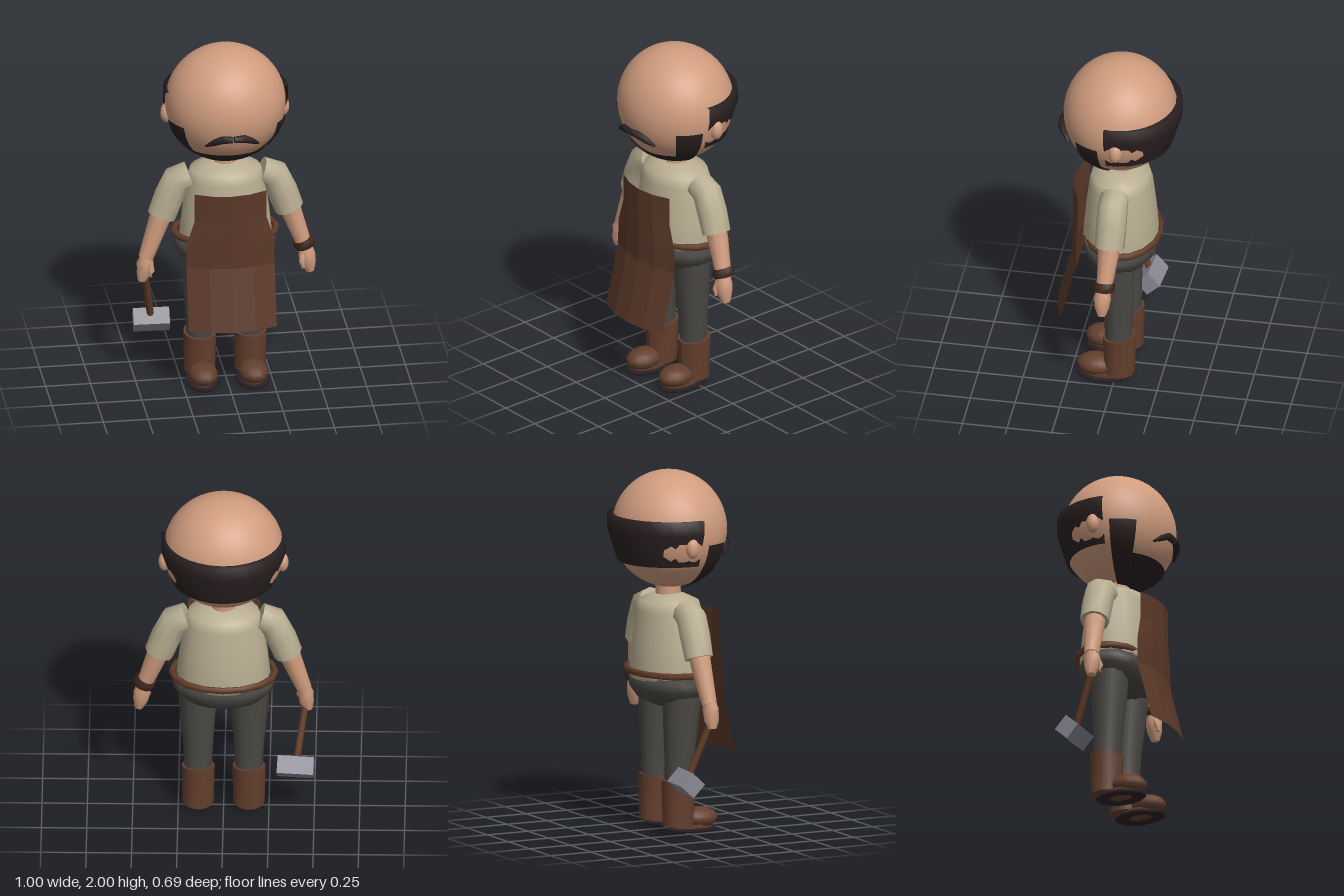
import * as THREE from 'three';

const mat = (name, color, side = THREE.FrontSide) => {
  const m = new THREE.MeshStandardMaterial({ color, side });
  m.name = name;
  return m;
};

// Closed limb through rings given as [x, y, z, radius]
function loft(pts, segs = 10) {
  const c = pts.map(p => new THREE.Vector3(p[0], p[1], p[2]));
  const last = pts.length - 1, up = new THREE.Vector3(0, 1, 0);
  const pos = [], idx = [];
  let rings = 0;
  const ring = (i, r) => {
    const t = c[Math.min(i + 1, last)].clone().sub(c[Math.max(i - 1, 0)]).normalize();
    const q = new THREE.Quaternion().setFromUnitVectors(up, t);
    for (let j = 0; j < segs; j++) {
      const a = j / segs * Math.PI * 2;
      const v = new THREE.Vector3(Math.cos(a) * r, 0, Math.sin(a) * r).applyQuaternion(q).add(c[i]);
      pos.push(v.x, v.y, v.z);
    }
    rings++;
  };
  // Doubled end rings keep the caps crisp
  ring(0, 0.0005);
  ring(0, pts[0][3]);
  pts.forEach((p, i) => ring(i, p[3]));
  ring(last, pts[last][3]);
  ring(last, 0.0005);
  for (let i = 0; i < rings - 1; i++) {
    if (i === 1 || i === rings - 3) continue;
    for (let j = 0; j < segs; j++) {
      const k = (j + 1) % segs, a = i * segs, b = a + segs;
      idx.push(a + j, b + j, a + k, b + j, b + k, a + k);
    }
  }
  const g = new THREE.BufferGeometry();
  g.setAttribute('position', new THREE.Float32BufferAttribute(pos, 3));
  g.setIndex(idx);
  g.computeVertexNormals();
  return g;
}

const lathe = (pts, segs, start, len) =>
  new THREE.LatheGeometry(pts.map(p => new THREE.Vector2(p[0], p[1])), segs, start, len);

const ball = (rx, ry, rz, w = 14, h = 10) => new THREE.SphereGeometry(1, w, h).scale(rx, ry, rz);

export function createModel() {
  const root = new THREE.Group();
  const skin = mat('skin', 0xd09c7e);
  const hair = mat('hair', 0x2a2021, THREE.DoubleSide);
  const shirt = mat('shirt', 0xb9ae92);
  const apronMat = mat('apron leather', 0x5a3828, THREE.DoubleSide);
  const pants = mat('trousers', 0x4a4843);
  const boot = mat('boot leather', 0x633f2d);
  const sole = mat('sole', 0x2a2024);
  const strap = mat('dark strap', 0x3d271c);
  const wood = mat('belt and handle brown', 0x633c28);
  const metal = mat('metal', 0x888993);

  const add = (name, geo, material, x = 0, y = 0, z = 0) => {
    const m = new THREE.Mesh(geo, material);
    m.name = name;
    m.position.set(x, y, z);
    root.add(m);
    return m;
  };

  // Head and neck
  add('head', ball(0.333, 0.325, 0.315, 40, 28), skin, 0, 1.675, -0.003);
  add('neck', new THREE.CylinderGeometry(0.07, 0.07, 0.16, 12), skin, 0, 1.34, -0.01);

  // Hair band around the back of the head
  const d = Math.PI / 180;
  add('hairBand', lathe([[0.275, 1.5], [0.29, 1.5], [0.345, 1.68], [0.345, 1.76], [0.31, 1.76]],
    14, 84 * d, 192 * d), hair);

  // Beard: chin patch plus taller cheeks
  const patch = (from, to, top) =>
    new THREE.SphereGeometry(1, 8, 8, (90 + from) * d, (to - from) * d, top * d, (180 - top) * d)
      .scale(0.345, 0.335, 0.327);
  add('chinBeard', patch(-50, 50, 131), hair, 0, 1.675, 0);
  add('leftCheekBeard', patch(50, 77, 99.5), hair, 0, 1.675, 0);
  add('rightCheekBeard', patch(-77, -50, 99.5), hair, 0, 1.675, 0);

  // Torso, hips and belt
  add('torso', lathe([[0, 0.83], [0.245, 0.83], [0.258, 0.88], [0.242, 1.03], [0.215, 1.22],
    [0.195, 1.275], [0.12, 1.305], [0.06, 1.32], [0, 1.32]], 20).scale(1, 1, 0.81), shirt, 0, 0, -0.005);
  add('hips', lathe([[0, 0.685], [0.12, 0.695], [0.225, 0.735], [0.277, 0.79], [0.282, 0.83],
    [0.262, 0.87], [0, 0.87]], 18).scale(1, 1, 0.73), pants, 0, 0, -0.005);
  add('belt', new THREE.TorusGeometry(0.285, 0.019, 6, 16).rotateX(Math.PI / 2).scale(1, 1, 0.72),
    wood, 0, 0.888, -0.02);

  // Apron: curved sheet from rows of [y, half width, edge z]
  const rows = [[0.42, 0.245, 0.29], [0.77, 0.245, 0.205], [0.91, 0.243, 0.205],
    [1.05, 0.2, 0.205], [1.21, 0.2, 0.205]];
  const sheet = new THREE.PlaneGeometry(1, 1, 4, rows.length - 1);
  const sp = sheet.attributes.position;
  for (let i = 0; i < sp.count; i++) {
    const s = sp.getX(i) * 2;
    const [y, w, z] = rows[Math.round((sp.getY(i) + 0.5) * (rows.length - 1))];
    sp.setXYZ(i, s * w, y, z + 0.055 * (1 - s * s));
  }
  const flatSheet = sheet.toNonIndexed();
  flatSheet.computeVertexNormals();
  add('apron', flatSheet, apronMat);

  for (const [s, side] of [[1, 'left'], [-1, 'right']]) {
    const limb = (name, pts, material, segs) =>
      add(side + name, loft(pts.map(([x, y, z, r]) => [s * x, y, z, r]), segs), material);

    // Face
    add(side + 'Ear', ball(0.034, 0.057, 0.037), skin, s * 0.325, 1.61, -0.028);
    limb('Moustache', [[0.004, 1.585, 0.322, 0.019], [0.06, 1.585, 0.316, 0.022],
      [0.107, 1.56, 0.292, 0.018], [0.147, 1.53, 0.262, 0.006]], hair, 6);

    // Arm
    limb('Sleeve', [[0.2, 1.236, -0.005, 0.078], [0.27, 1.21, -0.005, 0.085],
      [0.315, 1.11, -0.005, 0.085], [0.355, 1.0, -0.003, 0.081]], shirt);
    limb('Forearm', [[0.345, 1.04, 0, 0.06], [0.37, 0.97, 0, 0.058], [0.445, 0.755, 0.015, 0.042]], skin);
    limb('Hand', [[0.44, 0.77, 0.015, 0.036], [0.449, 0.725, 0.02, 0.048],
      [0.458, 0.67, 0.022, 0.042], [0.468, 0.62, 0.022, 0.024]], skin, 8);
    limb('Thumb', [[0.425, 0.735, 0.04, 0.018], [0.418, 0.69, 0.055, 0.019],
      [0.424, 0.655, 0.058, 0.011]], skin, 7);

    // Leg
    limb('Leg', [[0.14, 0.24, -0.018, 0.075], [0.14, 0.42, -0.013, 0.083],
      [0.142, 0.6, -0.005, 0.098], [0.142, 0.76, 0, 0.108]], pants, 12);

    // Boot with slanted top rim
    const shaft = new THREE.CylinderGeometry(0.092, 0.086, 0.24, 12);
    const p = shaft.attributes.position;
    for (let i = 0; i < p.count; i++) {
      if (p.getY(i) > 0) p.setY(i, p.getY(i) - p.getZ(i) * 0.17);
    }
    shaft.computeVertexNormals();
    add(side + 'BootShaft', shaft, boot, s * 0.14, 0.155, -0.02);
    add(side + 'BootToe', ball(0.082, 0.06, 0.108), boot, s * 0.14, 0.07, 0.108);
    add(side + 'BootBase', new THREE.CylinderGeometry(1, 1, 0.03, 14).scale(0.07, 1, 0.12),
      boot, s * 0.14, 0.025, 0.065);
    add(side + 'Sole', lathe([[0.45, 0.018], [0.45, 0.004], [0.65, 0], [0.92, 0], [1, 0.008], [0.96, 0.02],
      [0.45, 0.02]], 14).scale(0.092, 1, 0.147), sole, s * 0.14, 0, 0.067);
  }

  // Wrist cuff on the left arm
  add('wristCuff', loft([[0.427, 0.812, 0.013, 0.056], [0.432, 0.8, 0.013, 0.061],
    [0.438, 0.782, 0.014, 0.061], [0.443, 0.767, 0.014, 0.055]], 10), strap);

  // Hammer in the right hand
  add('hammerHandle', loft([[-0.458, 0.7, 0.035, 0.018], [-0.4, 0.33, -0.1, 0.02]], 8), wood);
  const head = add('hammerHead', new THREE.BoxGeometry(0.2, 0.1, 0.1), metal, -0.398, 0.32, -0.106);
  head.rotation.set(0.75, -0.04, 0.06);

  return root;
}
